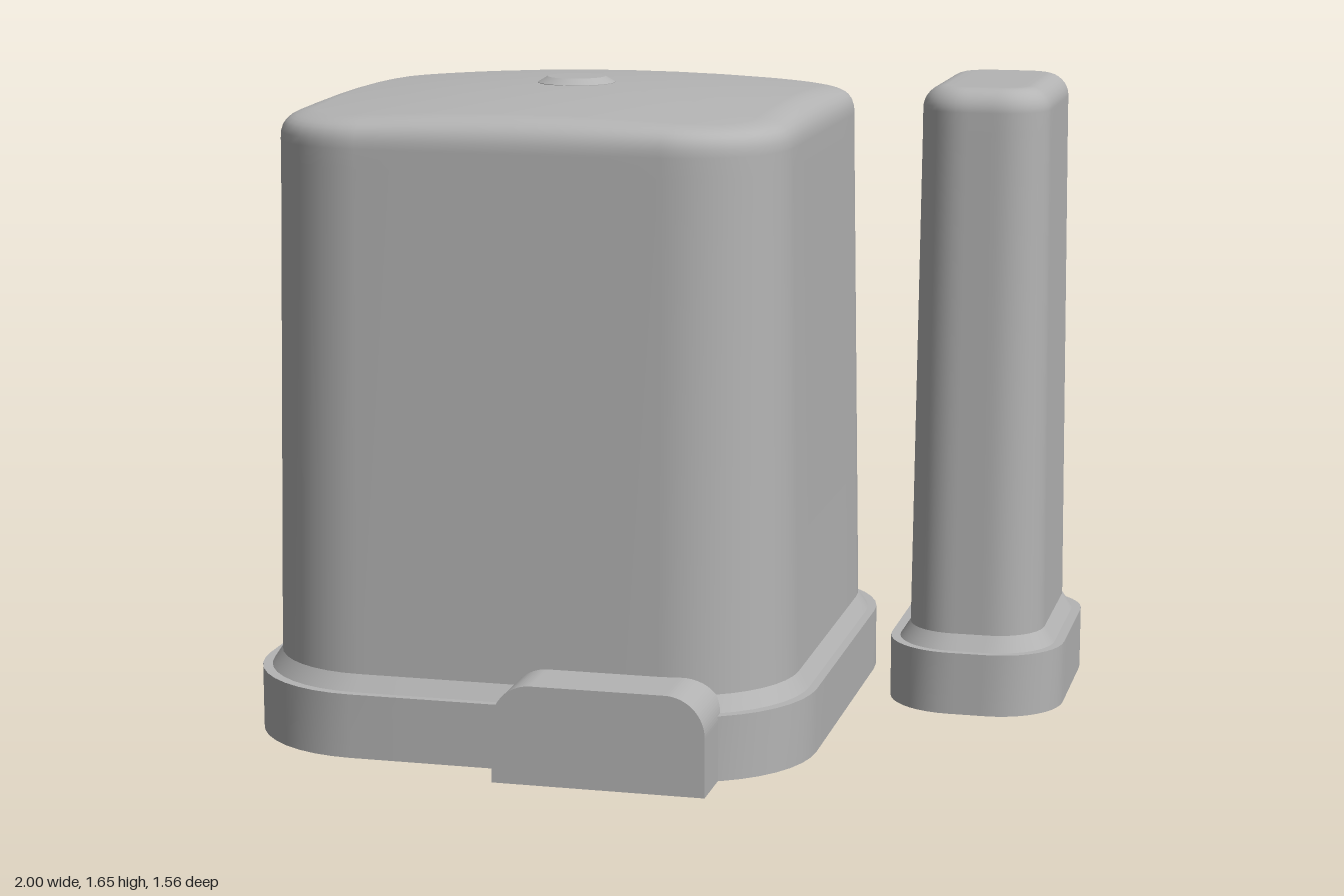
import * as THREE from 'three';

// Rounded-rectangle loop: half width w, half depth d, corner radius r
function loop(w, d, r) {
  const pts = [], arc = 10, side = 6;
  r = Math.min(r, w, d);
  const corners = [[1, 1], [-1, 1], [-1, -1], [1, -1]];
  corners.forEach(([sx, sz], k) => {
    for (let i = 0; i <= arc; i++) {
      const a = (k + i / arc) * Math.PI / 2;
      pts.push([sx * (w - r) + r * Math.cos(a), sz * (d - r) + r * Math.sin(a)]);
    }
    // Points along the straight side to the next corner
    const [nx, nz] = corners[(k + 1) % 4];
    const b = (k + 1) * Math.PI / 2;
    const p = pts[pts.length - 1];
    const q = [nx * (w - r) + r * Math.cos(b), nz * (d - r) + r * Math.sin(b)];
    for (let i = 1; i < side; i++) {
      const t = i / side;
      pts.push([p[0] + (q[0] - p[0]) * t, p[1] + (q[1] - p[1]) * t]);
    }
  });
  return pts;
}

// Skin rows of [w, d, r, y, crown]; each section is smooth, section borders stay sharp
function loft(sections) {
  const pos = [], idx = [];
  for (const rows of sections) {
    const start = pos.length / 3;
    let n = 0;
    for (const [w, d, r, y, crown = 0] of rows) {
      const pts = loop(w, d, r);
      n = pts.length;
      for (const [x, z] of pts) pos.push(x, y - crown * (x * x + z * z), z);
    }
    for (let i = 0; i < rows.length - 1; i++) {
      for (let j = 0; j < n; j++) {
        const a = start + i * n + j, b = start + i * n + (j + 1) % n;
        idx.push(a, a + n, b, b, a + n, b + n);
      }
    }
  }
  const g = new THREE.BufferGeometry();
  g.setAttribute('position', new THREE.Float32BufferAttribute(pos, 3));
  g.setIndex(idx);
  g.computeVertexNormals();
  return g;
}

// Hollow tapered cover on a wider foot
function coverGeometry({ base, low, high, wall, topY, fillet, crown }) {
  const inset = ([w, d, r], t) => [w - t, d - t, Math.max(r - t, 0.03)];
  const footY = 0.165, flareY = 0.205;
  const opening = inset(base, wall);
  const cavity = inset(opening, 0.015);
  const ceiling = topY - 0.15;
  const row = (s, y, c) => [...s, y, c];

  // Tapered wall, rounded shoulder
  const body = [row(low, flareY), row(high, topY - fillet[1] - 0.05), row(high, topY - fillet[1])];
  for (let i = 1; i <= 8; i++) {
    const a = i / 8 * Math.PI / 2;
    const s = inset(high, fillet[0] * (1 - Math.cos(a)));
    body.push(row(s, topY - fillet[1] * (1 - Math.sin(a)), crown * Math.sin(a) ** 2));
  }
  // Gently crowned top
  const edge = inset(high, fillet[0]);
  for (const k of [0.75, 0.5, 0.25, 0]) body.push(row(edge.map(v => v * k), topY, crown));

  return loft([
    [row([0, 0, 0], ceiling), row(cavity, ceiling)],
    [row(cavity, ceiling), row(opening, 0)],
    [row(opening, 0), row(base, 0)],
    [row(base, 0), row(base, footY)],
    [row(base, footY), row(inset(low, -0.027), footY)],
    [row(inset(low, -0.027), footY), row(low, flareY)],
    body,
  ]);
}

export function createModel() {
  const model = new THREE.Group();
  model.name = 'coverSet';
  const grey = new THREE.MeshStandardMaterial({ color: 0xb4b4b4 });
  grey.name = 'plain grey';

  const add = (name, geometry, x, y, z) => {
    const m = new THREE.Mesh(geometry, grey);
    m.name = name;
    m.position.set(x, y, z);
    model.add(m);
  };

  const big = [-0.2725, -0.055], small = [0.77, -0.425];

  // Large square cover
  add('largeCover', coverGeometry({
    base: [0.727, 0.727, 0.33], low: [0.678, 0.678, 0.29], high: [0.655, 0.655, 0.27],
    wall: 0.2, topY: 1.635, fillet: [0.09, 0.11], crown: 0.075,
  }), big[0], 0, big[1]);

  // Narrow cover beside it
  add('narrowCover', coverGeometry({
    base: [0.23, 0.355, 0.18], low: [0.178, 0.307, 0.13], high: [0.165, 0.292, 0.12],
    wall: 0.165, topY: 1.632, fillet: [0.06, 0.06], crown: 0,
  }), small[0], 0, small[1]);

  // Rods hanging inside the covers
  const rod = new THREE.CylinderGeometry(0.026, 0.026, 1.5, 24);
  add('largeCoverRod', rod, big[0], 0.752, big[1]);
  add('narrowCoverRod', rod, small[0], 0.752, small[1]);

  // Low button on the large cover, chamfer kept sharp
  const button = [[0.1, 1.6], [0.1, 1.635], [0.1, 1.635], [0.075, 1.65], [0.075, 1.65], [0, 1.65]];
  for (let i = 0; i < button.length; i += 2) {
    const pts = [button[i], button[i + 1]].map(p => new THREE.Vector2(...p));
    add('topButton', new THREE.LatheGeometry(pts, 40), big[0], 0, big[1]);
  }

  // Front block with rounded upper corners
  const w = 0.268, h = 0.25, r = 0.1;
  const s = new THREE.Shape();
  s.moveTo(-w, 0);
  s.lineTo(w, 0);
  s.lineTo(w, h - r);
  s.absarc(w - r, h - r, r, 0, Math.PI / 2);
  s.lineTo(-w + r, h);
  s.absarc(-w + r, h - r, r, Math.PI / 2, Math.PI);
  s.closePath();
  add('frontBlock', new THREE.ExtrudeGeometry(s, { depth: 0.21, bevelEnabled: false, curveSegments: 12 }), 0, 0, 0.57);

  return model;
}
